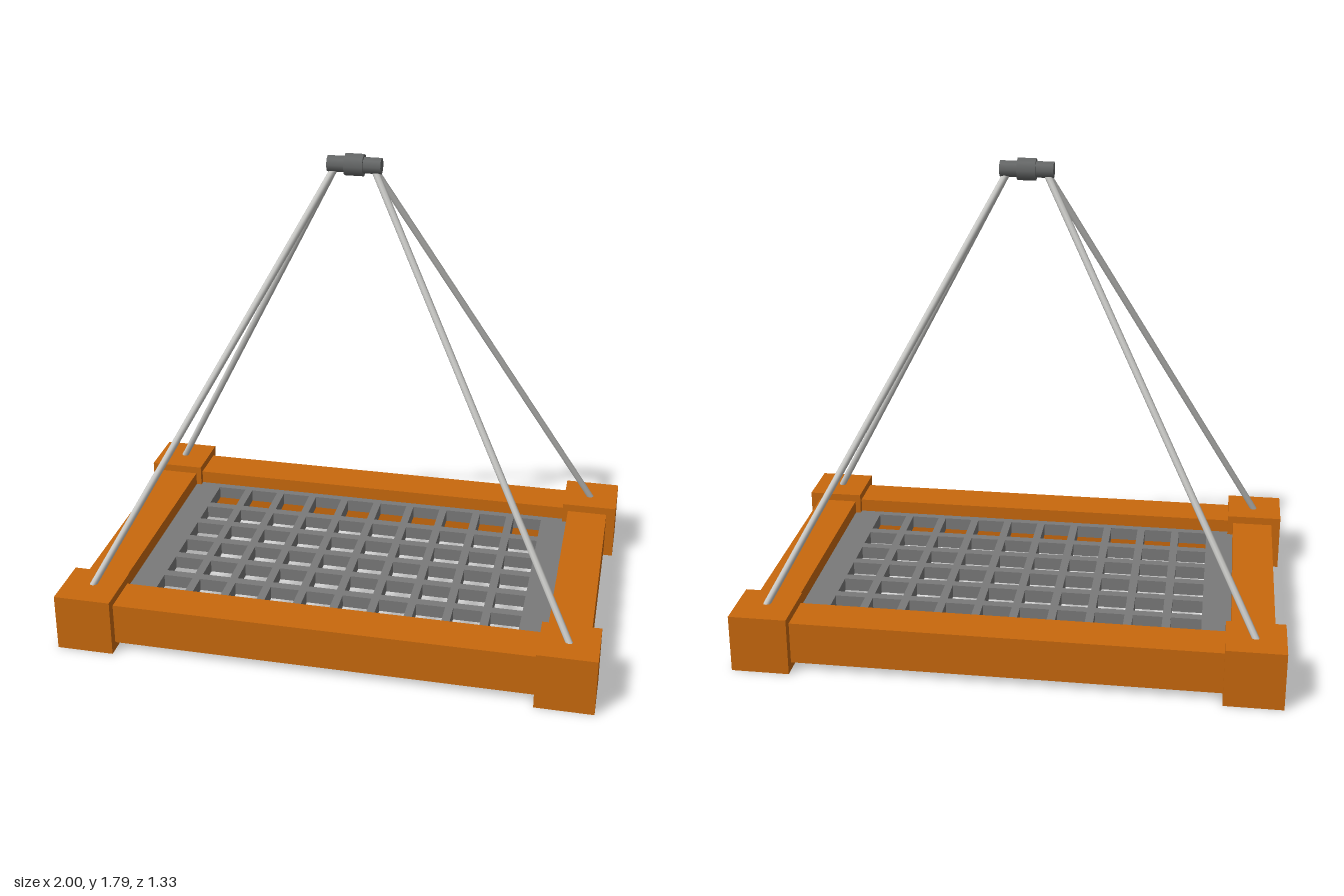
import * as THREE from 'three';

const material = (name, color) => {
  const m = new THREE.MeshStandardMaterial({ color });
  m.name = name;
  return m;
};

export function createModel() {
  const model = new THREE.Group();
  model.name = 'hangingPlatform';
  const wood = material('orangeWood', 0xc9690d);
  const grey = material('grateGrey', 0x7a7a7a);
  const dark = material('fittingGrey', 0x666868);
  const steel = material('cableSteel', 0xcdcdca);

  const add = (name, geometry, mat, x = 0, y = 0, z = 0) => {
    const mesh = new THREE.Mesh(geometry, mat);
    mesh.name = name;
    mesh.position.set(x, y, z);
    model.add(mesh);
    return mesh;
  };

  // Frame: four corner blocks joined by rails
  const block = new THREE.BoxGeometry(0.215, 0.22, 0.215);
  const longRail = new THREE.BoxGeometry(1.6, 0.16, 0.158);
  const sideRail = new THREE.BoxGeometry(0.158, 0.16, 0.94);
  for (const s of [-1, 1]) {
    add('longRail', longRail, wood, 0, 0.11, s * 0.552);
    add('sideRail', sideRail, wood, s * 0.885, 0.11, 0);
    for (const t of [-1, 1]) add('cornerBlock', block, wood, s * 0.8925, 0.11, t * 0.5575);
  }

  // Grate: one plate pierced by ten columns and six rows of holes
  const rect = (path, x0, y0, x1, y1) =>
    path.moveTo(x0, y0).lineTo(x1, y0).lineTo(x1, y1).lineTo(x0, y1).closePath();
  const spans = (count, pitch, bar, end) => Array.from({ length: count }, (_, i) => {
    const a = (i - count / 2) * pitch;
    return [i === 0 ? -end : a + bar / 2, i === count - 1 ? end : a + pitch - bar / 2];
  });
  const plate = new THREE.Shape();
  rect(plate, -0.82, -0.485, 0.82, 0.485);
  for (const [x0, x1] of spans(10, 0.142, 0.031, 0.698)) {
    for (const [z0, z1] of spans(6, 0.142, 0.036, 0.443)) {
      const hole = new THREE.Path();
      rect(hole, x0, z0, x1, z1);
      plate.holes.push(hole);
    }
  }
  const grate = new THREE.ExtrudeGeometry(plate, { depth: 0.05, bevelEnabled: false });
  grate.rotateX(-Math.PI / 2);
  add('grate', grate, grey, 0, 0.088, 0);

  // Top fitting: a short bar with a thicker collar
  const apexY = 1.745, apexZ = 0.01;
  const bar = new THREE.CylinderGeometry(0.03, 0.03, 0.196, 8).rotateZ(Math.PI / 2);
  const collar = new THREE.CylinderGeometry(0.041, 0.041, 0.068, 8).rotateZ(Math.PI / 2);
  add('topBar', bar, dark, 0, apexY, apexZ);
  add('topCollar', collar, dark, 0, apexY, apexZ);

  // Cables from the corner blocks to the ends of the top bar
  const up = new THREE.Vector3(0, 1, 0);
  for (const s of [-1, 1]) {
    for (const t of [-1, 1]) {
      const foot = new THREE.Vector3(s * 0.9, 0.2, t * (s === t ? 0.567 : 0.552));
      const top = new THREE.Vector3(s * 0.07, apexY - 0.01, apexZ);
      const dir = top.clone().sub(foot);
      const cable = add('cable', new THREE.CylinderGeometry(0.013, 0.013, dir.length(), 8), steel);
      cable.position.copy(foot).add(top).multiplyScalar(0.5);
      cable.quaternion.setFromUnitVectors(up, dir.normalize());
    }
  }
  return model;
}
